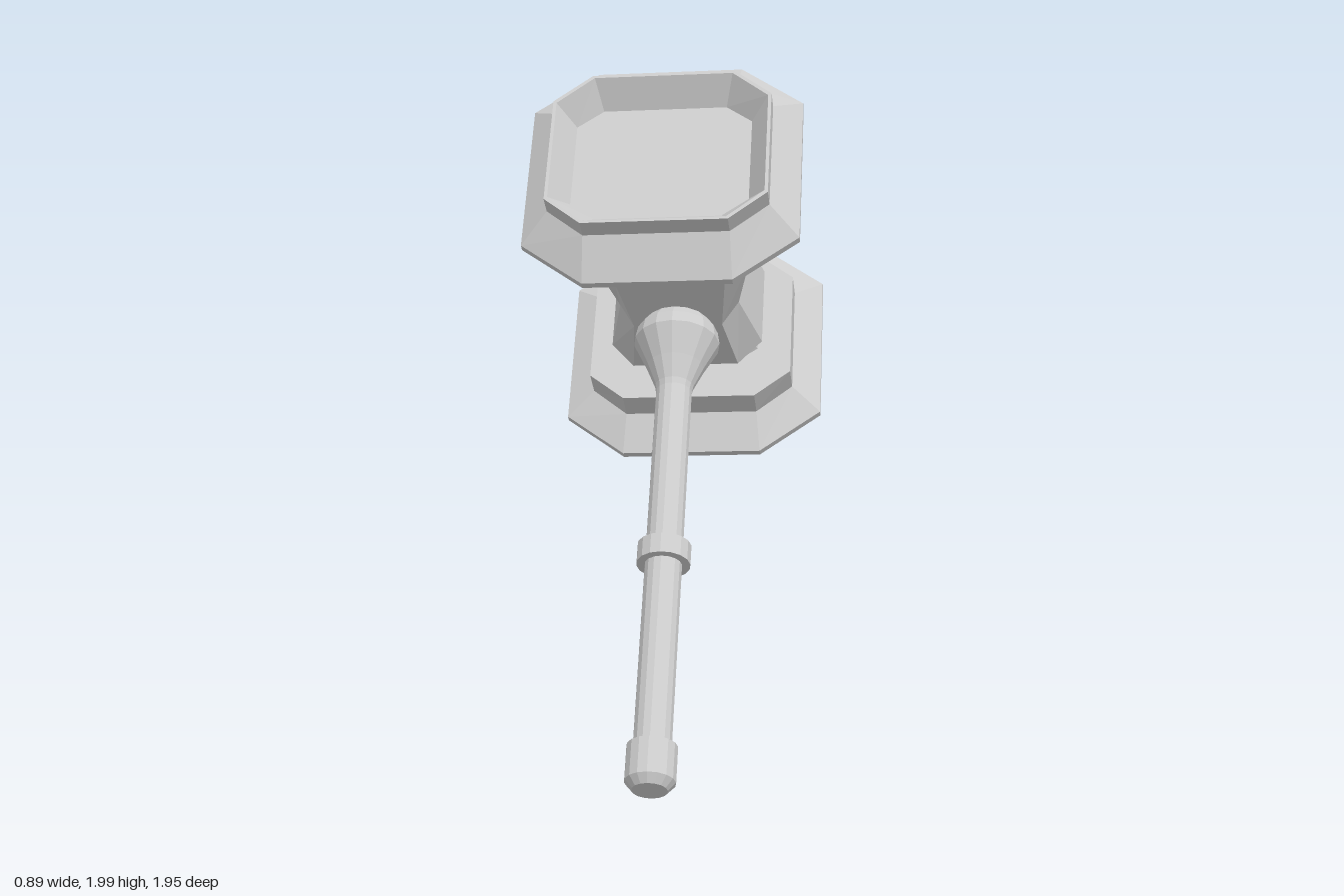
import * as THREE from 'three';

const material = new THREE.MeshStandardMaterial({ color: 0xcccccc, flatShading: true });

function addMesh(parent, name, geometry) {
  const mesh = new THREE.Mesh(geometry, material);
  mesh.name = name;
  parent.add(mesh);
  return mesh;
}

// Chamfered rectangle: half width, half flat width, half height, half flat height
function octagon(w, wf, h, hf, z) {
  return [[w, -hf], [w, hf], [wf, h], [-wf, h], [-w, hf], [-w, -hf], [-wf, -h], [wf, -h]]
    .map(([x, y]) => [x, y, z]);
}

// Skin a series of octagons along z and cap both ends
function loft(sections) {
  const rings = sections.map((s) => octagon(...s));
  const pos = [];
  const tri = (a, b, c) => pos.push(...a, ...b, ...c);
  for (let i = 0; i < rings.length - 1; i++) {
    for (let j = 0; j < 8; j++) {
      const k = (j + 1) % 8, p = rings[i], q = rings[i + 1];
      tri(p[j], p[k], q[k]);
      tri(p[j], q[k], q[j]);
    }
  }
  const first = rings[0], last = rings[rings.length - 1];
  for (let j = 1; j < 7; j++) {
    tri(first[0], first[j + 1], first[j]);
    tri(last[0], last[j], last[j + 1]);
  }
  const g = new THREE.BufferGeometry();
  g.setAttribute('position', new THREE.Float32BufferAttribute(pos, 3));
  g.computeVertexNormals();
  return g;
}

// Turned part from [radius, height] points
function turned(points, sides = 16) {
  return new THREE.LatheGeometry(points.map(([r, y]) => new THREE.Vector2(r, y)), sides);
}

export function createModel() {
  const model = new THREE.Group();
  model.name = 'warHammer';

  // The hammer is built upright, then leaned back
  const hammer = new THREE.Group();
  hammer.name = 'hammer';
  hammer.rotation.set(-0.768, -0.047, 0.015, 'XZY');
  hammer.position.set(0.02, 0.052, 0.929);
  model.add(hammer);

  // Handle
  addMesh(hammer, 'shaft', turned([[0, 0.05], [0.056, 0.05], [0.056, 1.34], [0.06, 1.36], [0.09, 1.43]]));
  addMesh(hammer, 'pommel', turned([[0, 0], [0.052, 0], [0.074, 0.025], [0.074, 0.135], [0.05, 0.135]]));
  addMesh(hammer, 'gripCollar', turned([[0.05, 0.725], [0.081, 0.725], [0.081, 0.79], [0.05, 0.79]]));
  addMesh(hammer, 'socket', turned([[0.05, 1.35], [0.09, 1.43], [0.135, 1.52], [0.128, 1.56], [0.085, 1.62]]));

  // Head
  const head = new THREE.Group();
  head.name = 'head';
  head.position.y = 1.82;
  hammer.add(head);

  // Core block with pinched sides
  addMesh(head, 'core', loft([
    [0.2, 0.12, 0.157, 0.11, -0.275],
    [0.245, 0.17, 0.225, 0.14, -0.22],
    [0.19, 0.14, 0.225, 0.14, 0],
    [0.245, 0.17, 0.225, 0.14, 0.22],
    [0.2, 0.12, 0.157, 0.11, 0.275],
  ]));
  addMesh(head, 'topKnob', turned([[0.11, 0.18], [0.11, 0.305], [0.098, 0.322], [0, 0.322]]));

  // Two opposite striking ends, each with a neck, flange and hollowed face
  for (const side of [1, -1]) {
    const end = new THREE.Group();
    end.name = side > 0 ? 'frontStrikingEnd' : 'backStrikingEnd';
    if (side < 0) end.rotation.y = Math.PI;
    head.add(end);
    addMesh(end, 'neck', loft([
      [0.19, 0.12, 0.14, 0.09, 0.26],
      [0.23, 0.15, 0.155, 0.1, 0.34],
    ]));
    addMesh(end, 'strikingFace', loft([
      [0.33, 0.215, 0.282, 0.19, 0.322],
      [0.33, 0.215, 0.285, 0.19, 0.412],
      [0.42, 0.225, 0.408, 0.26, 0.46],
      [0.42, 0.225, 0.408, 0.26, 0.482],
      [0.335, 0.22, 0.285, 0.19, 0.556],
      [0.335, 0.22, 0.285, 0.19, 0.616],
      [0.325, 0.213, 0.277, 0.183, 0.616],
      [0.27, 0.19, 0.21, 0.15, 0.535],
    ]));
  }
  return model;
}
